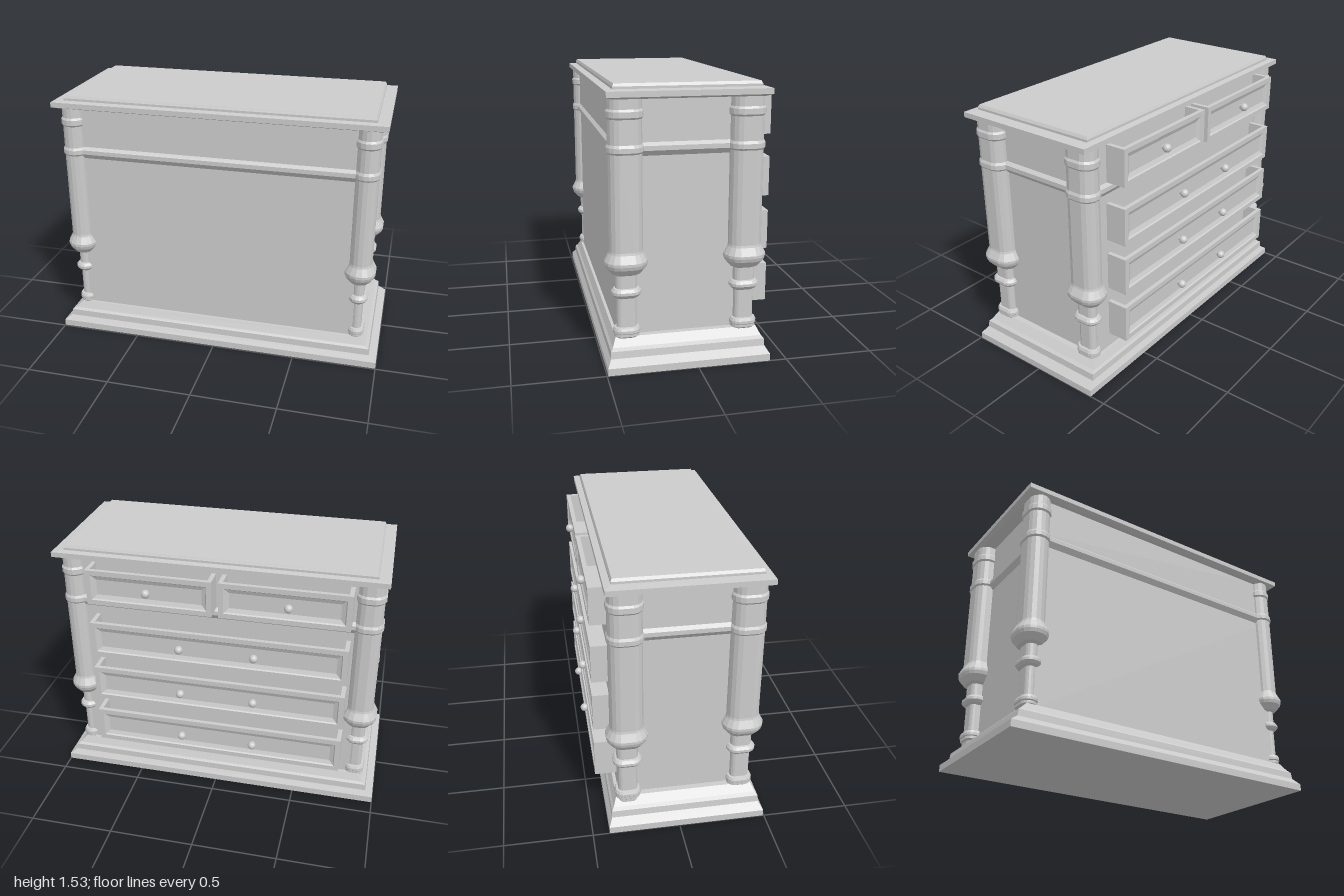
import * as THREE from 'three';

const flat = new THREE.MeshStandardMaterial({ color: 0xcccccc, flatShading: true });
const smooth = new THREE.MeshStandardMaterial({ color: 0xcccccc });

// Closed solid through stacked rectangles, each [x0, x1, z0, z1, y]
function stack(rings) {
  const pos = [], idx = [];
  for (const [x0, x1, z0, z1, y] of rings)
    pos.push(x0, y, z0, x0, y, z1, x1, y, z1, x1, y, z0);
  for (let r = 0; r < rings.length - 1; r++) {
    for (let i = 0; i < 4; i++) {
      const a = r * 4 + i, b = r * 4 + (i + 1) % 4;
      idx.push(a, b, b + 4, a, b + 4, a + 4);
    }
  }
  const t = (rings.length - 1) * 4;
  idx.push(0, 2, 1, 0, 3, 2, t, t + 1, t + 2, t, t + 2, t + 3);
  const indexed = new THREE.BufferGeometry();
  indexed.setAttribute('position', new THREE.Float32BufferAttribute(pos, 3));
  indexed.setIndex(idx);
  const g = indexed.toNonIndexed();
  g.computeVertexNormals();
  return g;
}

function add(parent, name, geometry, x = 0, y = 0, z = 0, material = flat) {
  const mesh = new THREE.Mesh(geometry, material);
  mesh.name = name;
  mesh.position.set(x, y, z);
  parent.add(mesh);
  return mesh;
}

// Rings symmetric in x, listed as [halfWidth, zBack, zFront, y]
const moulded = rows => stack(rows.map(([w, b, f, y]) => [-w, w, b, f, y]));

// Turned column, slightly widened by pulling its halves apart
function columnGeometry(stretchX, stretchZ) {
  const profile = [
    [0, 0.13], [0.034, 0.13], [0.034, 0.16], [0.045, 0.17], [0.045, 0.185], [0.05, 0.19],
    [0.05, 0.205], [0.043, 0.22], [0.03, 0.222], [0.03, 0.385], [0.045, 0.395], [0.057, 0.41],
    [0.057, 0.425], [0.045, 0.44], [0.035, 0.443], [0.035, 0.515], [0.055, 0.525],
    [0.085, 0.56], [0.092, 0.58], [0.092, 0.595], [0.07, 0.637], [0.067, 0.65],
    [0.067, 1.17], [0.075, 1.18], [0.075, 1.205], [0.067, 1.22],
    [0.066, 1.35], [0.074, 1.36], [0.074, 1.39], [0.066, 1.402], [0.066, 1.468],
  ].map(([r, y]) => new THREE.Vector2(r, y));
  const sides = 16;
  const g = new THREE.LatheGeometry(profile, sides, Math.PI / sides);
  const p = g.attributes.position;
  for (let i = 0; i < p.count; i++) {
    p.setX(i, p.getX(i) + Math.sign(p.getX(i)) * stretchX);
    p.setZ(i, p.getZ(i) + Math.sign(p.getZ(i)) * stretchZ);
  }
  g.computeVertexNormals();
  return g;
}

// Open-topped drawer with a recessed front facing -z
function drawer(name, x0, x1, y0, y1, knobXs) {
  const group = new THREE.Group();
  group.name = name;
  const front = 0.458, wall = 0.025, back = -0.3;
  const rect = (inset, d) => [x0 + inset, x1 - inset, y0 + inset, y1 - inset, d];
  const face = stack([
    rect(0, front - wall), rect(0, front), rect(0.03, front),
    rect(0.036, front - 0.008), rect(0.06, front - 0.018),
  ]);
  face.rotateX(-Math.PI / 2);
  add(group, 'drawerFront', face);

  const depth = front - wall + back, zMid = -(front - wall - depth / 2);
  const yMid = (y0 + y1) / 2;
  for (const x of [x0 + wall / 2, x1 - wall / 2])
    add(group, 'drawerSide', new THREE.BoxGeometry(wall, y1 - y0, depth), x, yMid, zMid);
  add(group, 'drawerBottom', new THREE.BoxGeometry(x1 - x0 - 2 * wall, wall, depth),
    (x0 + x1) / 2, y0 + wall / 2, zMid);

  for (const x of knobXs) {
    add(group, 'knob', new THREE.SphereGeometry(0.025, 16, 12), x, yMid, -0.467, smooth);
    const stem = new THREE.CylinderGeometry(0.012, 0.016, 0.03, 12).rotateX(Math.PI / 2);
    add(group, 'knobStem', stem, x, yMid, -0.445, smooth);
  }
  return group;
}

export function createModel() {
  const model = new THREE.Group();
  model.name = 'chestOfDrawers';

  // Stepped plinth
  add(model, 'base', moulded([
    [1, -0.405, 0.494, 0], [1, -0.405, 0.494, 0.04], [0.955, -0.385, 0.472, 0.073],
    [0.95, -0.383, 0.47, 0.112], [0.93, -0.372, 0.458, 0.125], [0.89, -0.352, 0.437, 0.168],
  ]));

  // Carcass with the moulding under the frieze
  add(model, 'body', moulded([
    [0.855, -0.333, 0.42, 0.15], [0.855, -0.333, 0.42, 1.15], [0.88, -0.355, 0.442, 1.18],
    [0.88, -0.355, 0.442, 1.205], [0.86, -0.337, 0.424, 1.222], [0.86, -0.337, 0.424, 1.47],
  ]));

  // Table top with raised panel
  add(model, 'top', moulded([
    [0.935, -0.36, 0.447, 1.455], [0.965, -0.389, 0.478, 1.467], [0.965, -0.389, 0.478, 1.497],
    [0.9, -0.352, 0.437, 1.502], [0.9, -0.352, 0.437, 1.515],
    [0.89, -0.345, 0.43, 1.53],
  ]));

  // Corner columns, one of them a little wider
  for (const x of [-0.863, 0.863]) {
    for (const z of [-0.283, 0.372]) {
      const wide = x < 0 && z < 0 ? 0.012 : 0;
      add(model, 'column', columnGeometry(wide, 0.025), x - wide / 2, 0, z);
    }
  }

  // Two small drawers over three wide ones, all pulled out
  model.add(drawer('smallDrawerRight', -0.78, -0.038, 1.223, 1.437, [-0.435]));
  model.add(drawer('smallDrawerLeft', 0, 0.74, 1.223, 1.437, [0.38]));
  for (const y of [0.255, 0.567, 0.875])
    model.add(drawer('wideDrawer', -0.78, 0.74, y, y + 0.222, [-0.246, 0.198]));

  return model;
}
